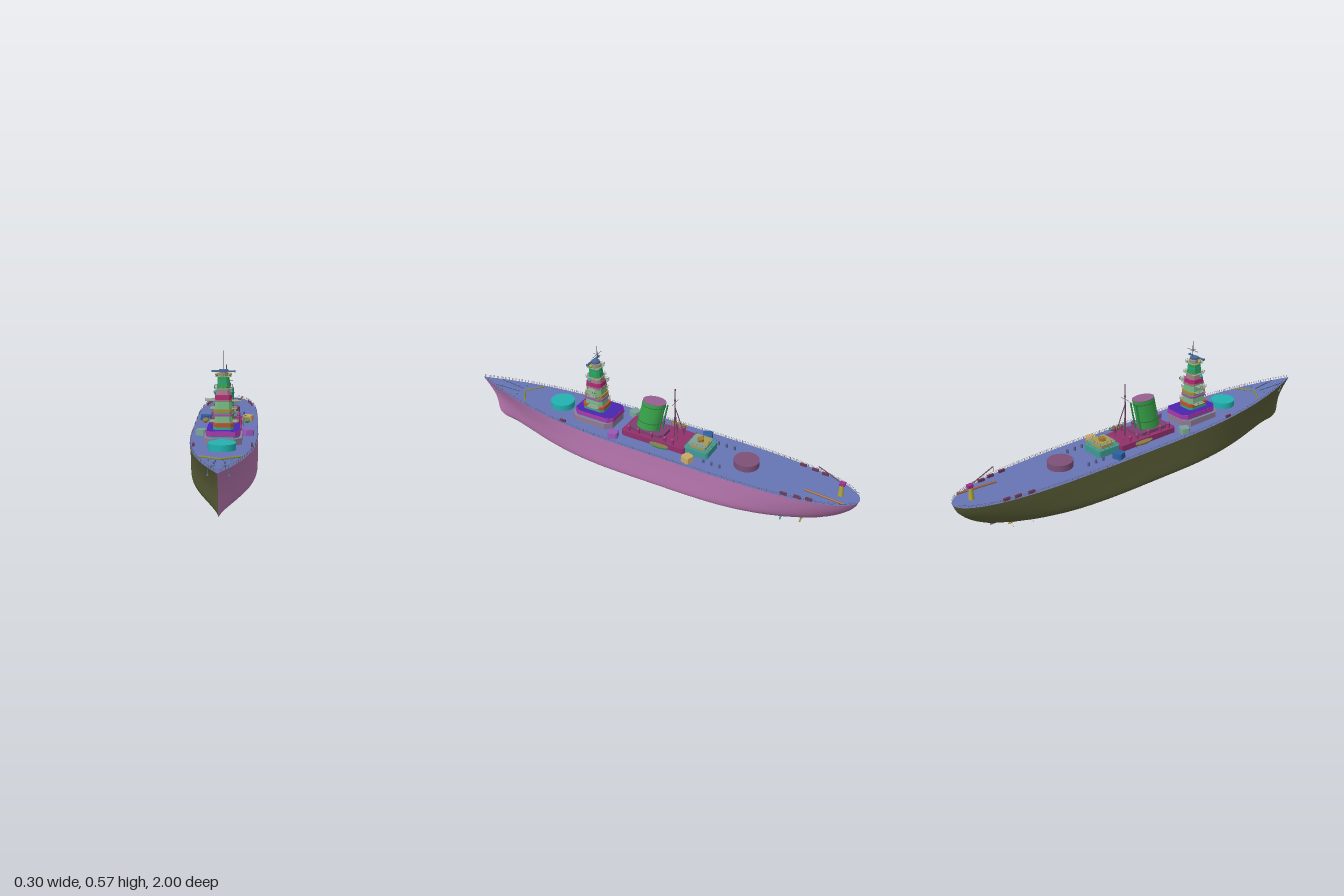
import * as THREE from 'three';
import { mergeGeometries } from 'three/addons/utils/BufferGeometryUtils.js';

const V = (x, y, z) => new THREE.Vector3(x, y, z);
const lerpTable = (pts, t) => {
  for (let i = 1; i < pts.length; i++) {
    if (t <= pts[i][0]) {
      const [a, b] = [pts[i - 1], pts[i]];
      return THREE.MathUtils.lerp(a[1], b[1], (t - a[0]) / (b[0] - a[0]));
    }
  }
  return pts[pts.length - 1][1];
};

// Hull rules: stem and stern profiles, bilge rounding, sheer and deck outline
const STEM = [[0, .865], [.03, .885], [.1, .908], [.2, .917], [.4, .92], [.55, .928], [.7, .945], [.85, .97], [1, 1]];
const STERN = [[0, .62], [.05, .74], [.12, .81], [.25, .875], [.4, .92], [.6, .96], [.8, .988], [1, 1]];
const BILGE = [[0, .84], [.02, .91], [.06, .96], [.12, .985], [.2, .99], [.6, .99], [1, 1]];
const LEVELS = [0, .01, .03, .06, .1, .16, .25, .35, .45, .55, .65, .75, .85, .93, 1];
const deckY = z => .173 + (z > 0 ? .028 * z ** 1.6 : .006 * z);
const outline = z => z > 0
  ? 1 - Math.max(0, (z - .1) / .9) ** 2.4
  : Math.sqrt(Math.max(0, 1 - Math.max(0, (-z - .1) / .9) ** 3.6));
const edge = z => .15 * outline(z);

function gridGeometry(rows, flip) {
  const n = rows[0].length, pos = [], idx = [];
  rows.forEach(r => r.forEach(p => pos.push(p.x, p.y, p.z)));
  for (let i = 0; i < rows.length - 1; i++) {
    for (let j = 0; j < n - 1; j++) {
      const a = i * n + j, b = a + n, c = a + 1, d = b + 1;
      idx.push(...(flip ? [a, b, c, c, b, d] : [a, c, b, c, d, b]));
    }
  }
  const g = new THREE.BufferGeometry();
  g.setAttribute('position', new THREE.Float32BufferAttribute(pos, 3));
  g.setIndex(idx);
  g.computeVertexNormals();
  return g;
}

// Block with cut corners standing on y0, narrowing to the given taper at y1
function block(w, d, y0, y1, cut = .01, taper = 1) {
  const s = new THREE.Shape([[w - cut, -d], [w, cut - d], [w, d - cut], [w - cut, d],
    [cut - w, d], [-w, d - cut], [-w, cut - d], [cut - w, -d]].map(p => new THREE.Vector2(...p)));
  const g = new THREE.ExtrudeGeometry(s, { depth: y1 - y0, bevelEnabled: false }).rotateX(-Math.PI / 2);
  const p = g.attributes.position;
  for (let i = 0; i < p.count; i++) {
    if (p.getY(i) > (y1 - y0) / 2) { p.setX(i, p.getX(i) * taper); p.setZ(i, p.getZ(i) * taper); }
  }
  g.computeVertexNormals();
  return g.translate(0, y0, 0);
}

const box = (w, h, d, x, y, z, ry = 0) => new THREE.BoxGeometry(w, h, d).rotateY(ry).translate(x, y, z);
const cyl = (r0, r1, h, x, y, z, n = 16) => new THREE.CylinderGeometry(r1, r0, h, n).translate(x, y + h / 2, z);
const rod = (a, b, r = .0015, n = 6) => new THREE.TubeGeometry(new THREE.LineCurve3(a, b), 1, r, n);

// Closed rail with posts around a rectangular platform
function platformRail(w, d, y, z, h = .01) {
  const c = [[w, d], [w, -d], [-w, -d], [-w, d]], out = [];
  c.forEach(([x, k], i) => {
    const [x2, k2] = c[(i + 1) % 4];
    for (const f of [.5, 1]) out.push(rod(V(x, y + h * f, z + k), V(x2, y + h * f, z + k2), .0005, 4));
    for (let t = 0; t < 1; t += .25) {
      const px = x + (x2 - x) * t, pz = z + k + (k2 - k) * t;
      out.push(rod(V(px, y, pz), V(px, y + h, pz), .0005, 4));
    }
  });
  return out;
}

export function createModel() {
  const ship = new THREE.Group();
  ship.name = 'warship';
  const add = (name, color, geo, double) => {
    const mat = new THREE.MeshStandardMaterial({ color });
    if (double) mat.side = THREE.DoubleSide;
    const m = new THREE.Mesh(Array.isArray(geo) ? mergeGeometries(geo) : geo, mat);
    m.name = name;
    ship.add(m);
    return m;
  };
  const SIDES = [1, -1];
  const stations = Array.from({ length: 73 }, (_, i) => Math.sin((i / 36 - 1) * Math.PI / 2));

  // Hull halves and deck
  for (const s of SIDES) {
    const rows = stations.map(t => {
      const pts = LEVELS.map(f => {
        const z = t * lerpTable(t > 0 ? STEM : STERN, f);
        const x = .15 * lerpTable(BILGE, f) * outline(t) ** (1 + .6 * (1 - f));
        return V(s * x, f * deckY(z), z);
      });
      return [V(0, 0, pts[0].z), ...pts];
    });
    add(s > 0 ? 'leftHull' : 'rightHull', s > 0 ? 0xb877b0 : 0x5c6038, gridGeometry(rows, s < 0));
  }
  add('deck', 0x6674b4, gridGeometry(stations.map(z => [-1, -.5, 0, .5, 1].map(k => V(k * edge(z), deckY(z), z))), true));

  // Deck edge railing
  const rails = [];
  for (const s of SIDES) {
    const at = (z, h) => V(s * edge(z) * .985, deckY(z) + h, z);
    for (const h of [.006, .012]) {
      const path = new THREE.CatmullRomCurve3(stations.slice(3, 71).map(z => at(z, h)));
      rails.push(new THREE.TubeGeometry(path, 90, .0005, 3));
    }
    for (let z = -.96; z < .97; z += .03) rails.push(rod(at(z, 0), at(z, .012), .0006, 4));
  }
  add('deckRailing', 0x6b6470, rails);

  // Main gun barbettes
  add('foreBarbette', 0x22b3b0, cyl(.058, .058, .032, 0, .18, .51, 40));
  add('aftBarbette', 0x7d5078, cyl(.058, .058, .034, 0, .166, -.475, 40));

  // Bridge base
  add('bridgeDeckhouse', 0x8f7d98, block(.08, .11, .165, .206, .03).translate(0, 0, .305));
  add('bridgeBaseStrip', 0x22b3a8, block(.068, .1, .205, .213, .025).translate(0, 0, .3));
  add('bridgeUpperHouse', 0xa838ac, block(.072, .105, .212, .235, .022).translate(0, 0, .295));
  add('bridgeRoof', 0x4a25b0, block(.07, .103, .235, .2365, .022).translate(0, 0, .295));

  // Tower storeys: half width, half depth, bottom, top, taper, colour
  [[.043, .056, .235, .248, 1, 0x2fa888], [.044, .057, .248, .264, 1, 0xb85430],
    [.038, .048, .264, .293, .95, 0x79b487], [.042, .05, .293, .302, 1, 0x9a5a98],
    [.037, .044, .302, .31, 1, 0x58a078], [.041, .048, .31, .322, 1, 0xb08838],
    [.037, .042, .322, .353, .93, 0x72b880], [.037, .043, .353, .362, 1, 0x9a7884],
    [.036, .04, .362, .382, .97, 0xb02870], [.031, .036, .382, .408, .95, 0xa87c86],
    [.028, .032, .408, .432, .92, 0x2ca050], [.026, .03, .432, .44, 1, 0x28a890],
    [.026, .029, .44, .458, .95, 0x2ca050], [.019, .024, .458, .477, 1.1, 0xa89c80]]
    .forEach(([w, d, y0, y1, t, c], i) =>
      add('towerStorey' + (i + 1), c, block(w, d, y0, y1, .012, t).translate(0, 0, .31)));

  // Tower platforms with rails and struts
  [[.063, .03, .263, .3], [.06, .026, .321, .305], [.078, .022, .353, .305], [.04, .036, .407, .31], [.034, .032, .458, .31]]
    .forEach(([w, d, y, z], i) => {
      add('towerPlatform' + (i + 1), 0x8fa890, block(w, d, y, y + .002, .006).translate(0, 0, z));
      add('platformRail' + (i + 1), 0x777777, platformRail(w - .002, d - .002, y + .002, z));
      if (i < 3) {
        add('platformStruts' + (i + 1), 0x777777, SIDES.flatMap(s => [-.8, .8].map(k =>
          rod(V(s * w * .9, y, z + d * k), V(s * .036, y - .017, z + d * k), .001))));
      }
    });

  // Tower lamps, rangefinder and mast
  for (const s of SIDES) {
    add('upperLamp', 0xa8a840, new THREE.SphereGeometry(.008, 14, 10).translate(s * .028, .468, .318));
    add('lowerLamp', 0x2aa0a8, new THREE.SphereGeometry(.008, 14, 10).translate(s * .034, .393, .325));
    add('lampStand', 0x9a7884, [cyl(.003, .003, .01, s * .034, .38, .325, 8), cyl(.003, .003, .01, s * .028, .456, .318, 8)]);
  }
  add('rangefinder', 0x4a6a98, [cyl(.02, .02, .01, 0, .477, .31), box(.1, .006, .008, 0, .482, .325),
    box(.004, .009, .011, .049, .482, .325), box(.004, .009, .011, -.049, .482, .325)]);
  add('foreMast', 0x55505c, [rod(V(0, .485, .3), V(0, .567, .3), .0016), rod(V(-.037, .522, .3), V(.037, .522, .3), .001),
    rod(V(0, .522, .28), V(0, .522, .32), .001)]);

  // Funnel: elliptical tube raked aft, with dark top and rim
  const rake = g => {
    g.scale(.038, 1, .058);
    const p = g.attributes.position;
    for (let i = 0; i < p.count; i++) p.setZ(i, p.getZ(i) + .032 - (p.getY(i) - .2) * .23);
    g.computeVertexNormals();
    return g;
  };
  add('midDeckhouse', 0x93306c, block(.073, .165, .165, .2, .01).translate(0, 0, -.03));
  add('funnelHouse', 0x7c4070, block(.05, .09, .2, .214, .02).translate(0, 0, .02));
  add('funnel', 0x3aa84c, rake(new THREE.CylinderGeometry(1, 1, .162, 40, 1, true).translate(0, .281, 0)), true);
  add('funnelTop', 0x966090, rake(cyl(1, 1, .004, 0, .36, 0, 40)));
  add('funnelBand', 0x307a40, [.25, .34].map(y => rake(cyl(1.03, 1.03, .004, 0, y, 0, 40))));
  add('funnelPipe', 0x2c8a48, SIDES.map(s => rod(V(s * .02, .2, -.033), V(s * .02, .35, -.063), .004, 8)));
  // Ventilators beside the funnel
  add('ventilators', 0x983878, SIDES.flatMap(s => [-.13, -.09, -.02, .05, .1].flatMap(z =>
    [cyl(.007, .007, .022, s * .058, .199, z, 10), new THREE.SphereGeometry(.009, 10, 8).translate(s * .058, .222, z)])));

  // Tripod main mast
  add('mainMast', 0x6a4a62, [rod(V(0, .2, -.11), V(0, .46, -.11), .0028), rod(V(-.03, .385, -.11), V(.03, .385, -.11), .001),
    ...SIDES.map(s => rod(V(s * .034, .2, -.145), V(0, .36, -.111), .0022)), rod(V(0, .395, -.11), V(0, .405, -.11), .005, 8)]);

  // Aft superstructure
  add('aftDeckhouse', 0x3f9c94, block(.058, .06, .165, .203, .008).translate(0, 0, -.245));
  add('aftUpperHouse', 0xa89a50, block(.04, .04, .203, .222, .006).translate(0, 0, -.245));
  add('aftPlatform', 0x80a098, block(.046, .045, .22, .222, .006).translate(0, 0, -.245));
  add('aftDirector', 0xa07830, [cyl(.015, .015, .014, 0, .222, -.245), box(.05, .006, .007, 0, .232, -.245)]);
  add('aftRail', 0x777777, [...platformRail(.044, .043, .222, -.245), ...platformRail(.056, .056, .203, -.245)]);

  // Side gun mounts, boats and davits
  for (const s of SIDES) {
    [[.16, .3, s > 0 ? 0x9858b8 : 0x78a098], [-.23, 2.75, s > 0 ? 0xc8a868 : 0x2c60a0]].forEach(([z, a, c]) => {
      const g = mergeGeometries([block(.024, .024, 0, .026, .007, .92).toNonIndexed ? block(.024, .024, 0, .026, .007, .92) : null]);
      add('sideGunHouse', c, g.rotateY(s * (a > 1 ? -.35 : .35)).translate(s * .103, deckY(z), z));
    });
    const boat = new THREE.SphereGeometry(1, 20, 8, 0, Math.PI * 2, Math.PI / 2, Math.PI / 2).scale(.014, .016, .05);
    add('boatHull', s > 0 ? 0x38b048 : 0xb08840, boat.translate(s * .098, .203, -.08), true);
    add('boatCover', 0x8c7850, new THREE.CircleGeometry(1, 20).rotateX(-Math.PI / 2).scale(.013, 1, .048).translate(s * .098, .202, -.08));
    add('boatDavits', 0x6a6a70, [-.11, -.05].map(z => new THREE.TubeGeometry(new THREE.CatmullRomCurve3(
      [V(s * .08, .172, z), V(s * .08, .205, z), V(s * .088, .216, z), V(s * .098, .214, z)]), 8, .0014, 5)));
    // Small deck fittings
    add('deckVents', 0x55608c, [-.3, -.34, -.38].map(z => cyl(.006, .005, .017, s * .08, deckY(z), z, 10)));
    add('lockers', 0x6c3858, [.43, -.7, -.76, -.81].map(z => box(.009, .012, .03, s * edge(z) * .9, deckY(z) + .006, z)));
    add('bollards', 0x5c88a0, [[.02, .8], [.045, .76], [.02, .87]].map(([x, z]) => cyl(.005, .005, .009, s * x, deckY(z), z, 10)));
    add('anchorChain', 0x4c5684, rod(V(s * .015, deckY(.76) + .003, .76), V(s * .028, deckY(.9) + .003, .9), .0022));
    add('breakwater', 0x94943c, rod(V(0, deckY(.74) + .004, .74), V(s * .085, deckY(.68) + .004, .68), .004, 4));
    // Anchor hanging from the bow
    add('anchor', 0x60809c, [rod(V(s * .04, .193, .895), V(s * .04, .165, .885), .002), box(.005, .005, .016, s * .04, .167, .885)]);
    // Propeller, shaft and bracket
    const blades = [0, 1, 2].map(i => new THREE.BoxGeometry(.009, .022, .002).rotateY(.5).translate(0, .011, 0)
      .rotateZ(i * Math.PI * 2 / 3).translate(s * .05, .022, -.77));
    add('propeller', 0xb0a840, blades);
    add('propellerShaft', 0x8a7a50, [rod(V(s * .05, .026, -.62), V(s * .05, .022, -.777), .0035, 8),
      rod(V(s * .05, .022, -.74), V(s * .035, .06, -.74), .002)]);
    add('outerPropeller', 0x50a0a0, [0, 1, 2].map(i => new THREE.BoxGeometry(.009, .018, .002).rotateY(.5).translate(0, .009, 0)
      .rotateZ(i * Math.PI * 2 / 3).translate(s * .088, .028, -.69)));
    add('outerShaft', 0x50888a, rod(V(s * .088, .03, -.55), V(s * .088, .028, -.696), .003, 8));
  }
  add('rudder', 0x98689a, box(.006, .06, .04, 0, .045, -.82));

  // Stern crane and spare boom
  add('cranePost', 0xb0a840, cyl(.012, .009, .056, 0, .167, -.915));
  add('craneHead', 0xa03090, box(.02, .014, .024, 0, .229, -.918));
  add('craneJib', 0x6a4a62, [rod(V(0, .232, -.915), V(0, .28, -.805), .0025), rod(V(0, .28, -.805), V(0, .25, -.805), .0007)]);
  add('deckBoom', 0x9c6844, rod(V(.063, .176, -.95), V(.048, .176, -.77), .005, 8));
  return ship;
}
